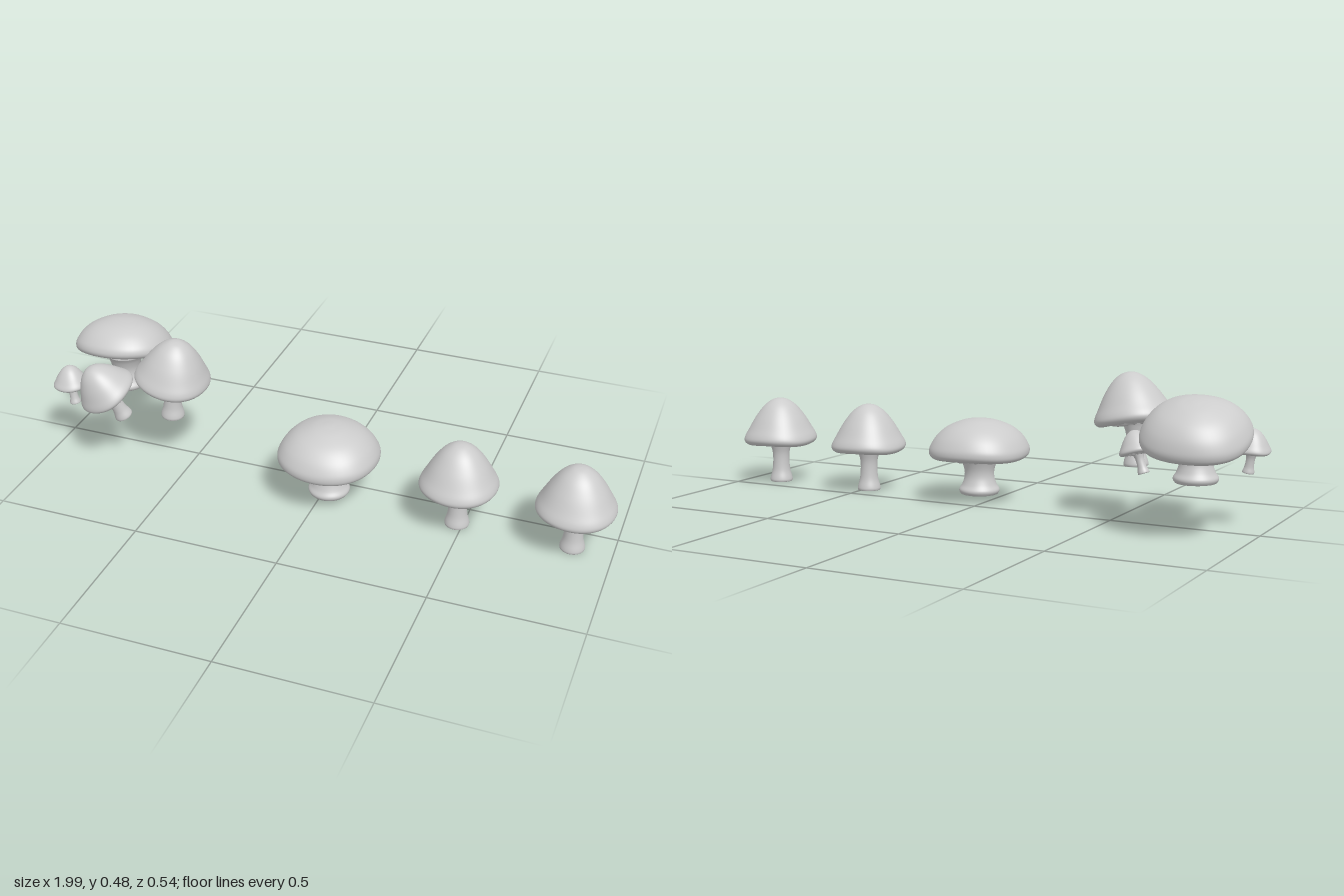
import * as THREE from 'three';
import { mergeVertices } from 'three/addons/utils/BufferGeometryUtils.js';

const SEGMENTS = 60;

// Two species: profiles run [radius, height]; cap heights are measured from the stem top.
const broad = {
  stemTop: 0.12,
  stem: [[0, 0], [0.055, 0], [0.067, 0.006], [0.07, 0.018], [0.06, 0.035], [0.052, 0.06], [0.052, 0.085], [0.06, 0.112], [0.07, 0.13]],
  cap: [[0.045, -0.008], [0.09, -0.004], [0.125, 0.01], [0.136, 0.014], [0.15, 0.009], [0.164, 0.016], [0.17, 0.03],
    [0.166, 0.052], [0.145, 0.086], [0.11, 0.116], [0.06, 0.137], [0.02, 0.144], [0, 0.145]],
  gills: { from: 0.055, to: 0.136, below: 0.0145, depth: 0.02 },
};
const conical = {
  stemTop: 0.14,
  stem: [[0, 0.002], [0.035, 0.002], [0.041, 0.007], [0.04, 0.018], [0.033, 0.045], [0.03, 0.08], [0.031, 0.11], [0.037, 0.135], [0.042, 0.148]],
  cap: [[0.03, -0.002], [0.06, 0], [0.09, 0.009], [0.1, 0.012], [0.112, 0.006], [0.124, 0.012], [0.13, 0.024],
    [0.126, 0.04], [0.113, 0.064], [0.088, 0.108], [0.058, 0.147], [0.026, 0.17], [0, 0.175]],
  gills: { from: 0.036, to: 0.1, below: 0.0125, depth: 0.018 },
};

// Smooth turned body; the rule moves each vertex after turning
function turned(profile, samples, rule) {
  const curve = new THREE.SplineCurve(profile.map(([r, y]) => new THREE.Vector2(r, y)));
  const points = curve.getPoints(samples);
  points.forEach((p) => { p.x = Math.max(p.x, 0); });
  let geometry = new THREE.LatheGeometry(points, SEGMENTS);
  geometry.deleteAttribute('uv');
  geometry.deleteAttribute('normal');
  geometry = mergeVertices(geometry, 1e-5);
  const pos = geometry.attributes.position;
  const v = new THREE.Vector3();
  for (let i = 0; i < pos.count && rule; i++) {
    rule(v.fromBufferAttribute(pos, i));
    pos.setXYZ(i, v.x, v.y, v.z);
  }
  geometry.computeVertexNormals();
  return geometry;
}

// Cap: slightly squared outline, wavy rim and radial gills cut into the underside
function capGeometry({ cap, gills }) {
  return turned(cap, 60, (v) => {
    const r = Math.hypot(v.x, v.z);
    const angle = Math.atan2(v.z, v.x);
    const t = (r - gills.from) / (gills.to - gills.from);
    if (v.y < gills.below && t > 0 && t < 1) {
      const groove = Math.abs(Math.sin(5 * angle));
      v.y += gills.depth * Math.sin(Math.PI * t) * groove;
    }
    const rim = r / cap[6][0];
    v.y += 0.003 * rim * rim * Math.sin(3 * angle + 0.6);
    const square = 1 + 0.018 * (1 - Math.cos(4 * angle)) * rim;
    v.x *= square;
    v.z *= square;
  });
}

export function createModel() {
  const model = new THREE.Group();
  const material = new THREE.MeshStandardMaterial({ color: 0xcccccc, side: THREE.DoubleSide });
  const up = new THREE.Vector3(0, 1, 0);
  for (const kind of [broad, conical]) {
    kind.stemGeometry = turned(kind.stem, 36);
    kind.capGeometry = capGeometry(kind);
  }

  // lean is the direction of the stem, tilt the direction of the cap
  function addMushroom(name, kind, base, scale = 1, lean = [0, 1, 0], tilt = lean) {
    const group = new THREE.Group();
    group.name = name;
    group.position.set(...base);
    group.scale.setScalar(scale);
    const axis = new THREE.Vector3(...lean).normalize();
    const stem = new THREE.Mesh(kind.stemGeometry, material);
    stem.name = 'stem';
    stem.quaternion.setFromUnitVectors(up, axis);
    const cap = new THREE.Mesh(kind.capGeometry, material);
    cap.name = 'cap';
    cap.position.copy(axis).multiplyScalar(kind.stemTop);
    cap.quaternion.setFromUnitVectors(up, new THREE.Vector3(...tilt).normalize());
    group.add(stem, cap);
    model.add(group);
  }

  // Row of single mushrooms
  addMushroom('broadMushroom', broad, [0.03, 0.027, 0.095]);
  addMushroom('conicalMushroomInner', conical, [0.48, 0, 0.092]);
  addMushroom('conicalMushroomOuter', conical, [0.867, 0, 0.092]);

  // Cluster
  addMushroom('clusterBroadMushroom', broad, [-0.825, 0.17, -0.105], 1, [0.01, 1, 0], [-0.08, 1, -0.35]);
  addMushroom('clusterTallMushroom', conical, [-0.566, 0.177, 0.054], 0.98, [0.05, 1, 0.02], [0.18, 1, 0.06]);
  addMushroom('clusterLeaningMushroom', conical, [-0.718, 0.185, 0.125], 0.75, [-0.33, 1, 0.3], [-0.42, 1, 0.38]);
  addMushroom('clusterSmallMushroomFront', conical, [-0.927, 0.178, 0.095], 0.46, [-0.16, 1, -0.04], [-0.06, 1, -0.03]);
  addMushroom('clusterSmallMushroomBack', conical, [-0.642, 0.178, -0.07], 0.45, [0.35, 1, 0.05], [0.3, 1, 0.12]);
  return model;
}
